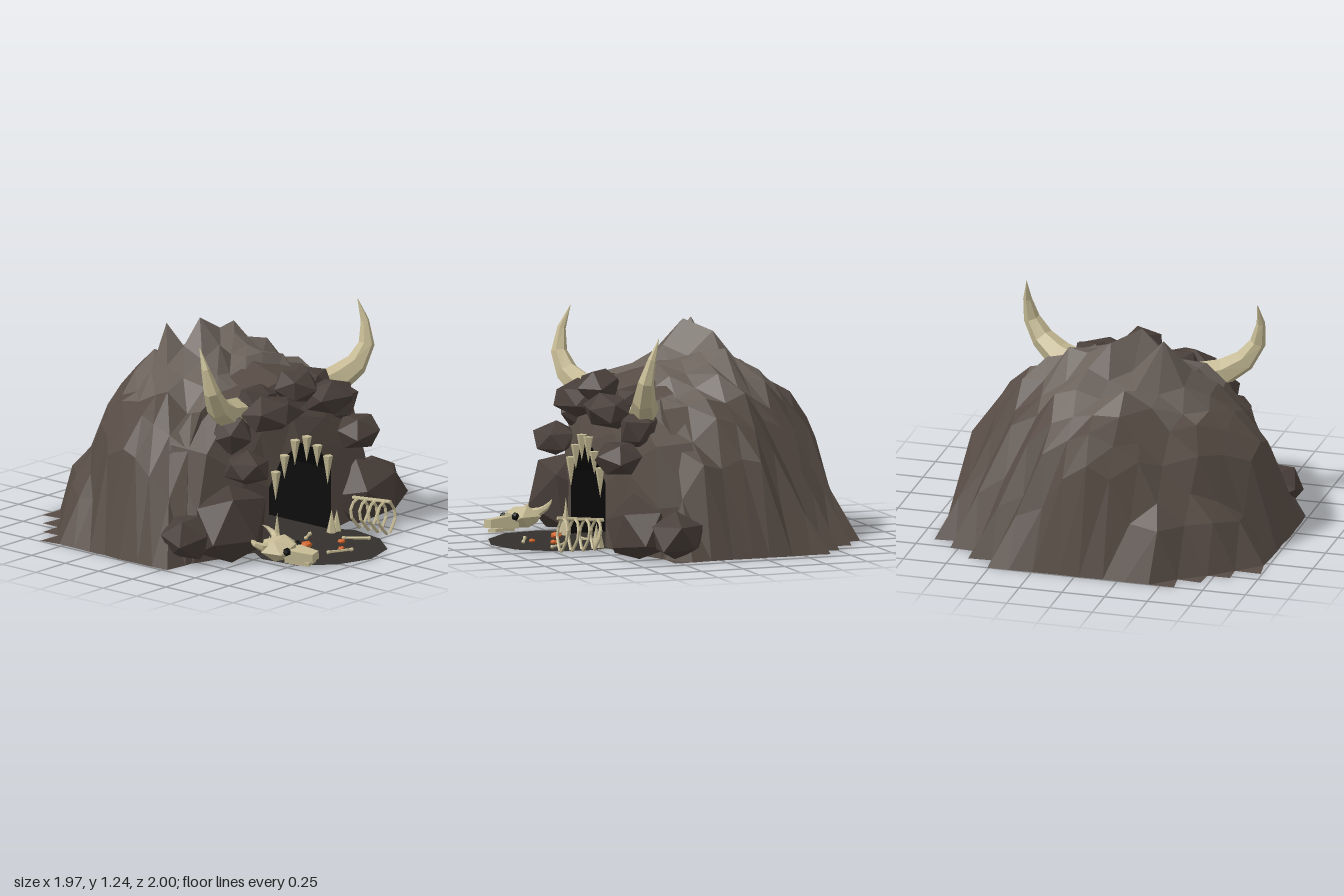
import * as THREE from 'three';

const mat = (color, side = THREE.FrontSide) =>
  new THREE.MeshStandardMaterial({ color, flatShading: true, roughness: 1, side });
const ROCK = mat(0x574c45, THREE.DoubleSide), CROWN = mat(0x6a615a, THREE.DoubleSide), DARK = mat(0x483e39);
const BONE = mat(0xc4b993), EMBER = mat(0xcf6228), SOIL = mat(0x342f2c, THREE.DoubleSide);
const BLACK = mat(0x0c0c0c, THREE.DoubleSide), RED = mat(0x9c4238, THREE.DoubleSide);
const V = (x, y, z) => new THREE.Vector3(x, y, z);

// repeatable noise in -1..1
function noise(a, b, c = 0) {
  const s = Math.sin(a * 127.1 + b * 311.7 + c * 74.7) * 43758.5453;
  return (s - Math.floor(s)) * 2 - 1;
}

function add(parent, name, geometry, material, x = 0, y = 0, z = 0) {
  const m = new THREE.Mesh(geometry, material);
  m.name = name;
  m.position.set(x, y, z);
  parent.add(m);
  return m;
}

// faceted sheet through rows of points; keep(row, column) may drop cells
function sheet(rows, keep = () => true) {
  const p = [];
  for (let j = 0; j + 1 < rows.length; j++)
    for (let i = 0; i + 1 < rows[j].length; i++) {
      if (!keep(j, i)) continue;
      const a = rows[j][i], b = rows[j][i + 1], c = rows[j + 1][i + 1], d = rows[j + 1][i];
      for (const v of [a, d, b, b, d, c]) p.push(v.x, v.y, v.z);
    }
  const g = new THREE.BufferGeometry();
  g.setAttribute('position', new THREE.Float32BufferAttribute(p, 3));
  g.computeVertexNormals();
  return g;
}

// angular stone with its corners pushed in and out
function boulder(parent, name, [x, y, z], [rx, ry, rz], seed) {
  const g = new THREE.IcosahedronGeometry(1.06, 0);
  g.rotateX(seed * 0.7);
  g.rotateY(seed * 1.3);
  const p = g.attributes.position, v = V(0, 0, 0);
  for (let i = 0; i < p.count; i++) {
    v.fromBufferAttribute(p, i);
    const k = 1 + 0.1 * noise(Math.round(v.x * 50), Math.round(v.y * 50), Math.round(v.z * 50) + seed);
    p.setXYZ(i, v.x * k * rx, Math.max(v.y * k * ry, -y), v.z * k * rz);
  }
  g.computeVertexNormals();
  return add(parent, name, g, DARK, x, y, z);
}

// tapered, curved, six-sided horn
function horn(parent, name, points, radius, segments = 5) {
  const curve = new THREE.CatmullRomCurve3(points.map(p => V(...p)));
  const g = new THREE.TubeGeometry(curve, segments, radius, 6);
  const p = g.attributes.position, v = V(0, 0, 0);
  for (let i = 0; i < p.count; i++) {
    const t = Math.floor(i / 7) / segments, c = curve.getPointAt(t);
    v.fromBufferAttribute(p, i).sub(c).multiplyScalar(Math.max(0.01, 1 - t ** 1.4)).add(c);
    p.setXYZ(i, v.x, v.y, v.z);
  }
  return add(parent, name, g, BONE);
}

// straight rod between two points
function rod(parent, name, a, b, r) {
  const A = V(...a), B = V(...b), d = B.clone().sub(A);
  const m = add(parent, name, new THREE.CylinderGeometry(r, r, d.length(), 5), BONE);
  m.position.copy(A.add(B).multiplyScalar(0.5));
  m.quaternion.setFromUnitVectors(V(0, 1, 0), d.normalize());
}

// craggy hill on a grid whose back corners are stepped
function mound(root) {
  const NX = 14, NZ = 11, inset = [3, 2, 1];
  const active = (j, i) => {
    const c = inset[j] || 0;
    return j >= 0 && j < NZ && i >= c && i < NX - c;
  };
  const peaks = [[-0.15, -0.17, 0.19], [-0.3, -0.3, 0.18], [0.25, -0.3, 0.13], [0, -0.3, 0.1], [0.07, 0.05, 0.04]];
  const rows = [];
  for (let j = 0; j <= NZ; j++) {
    rows.push([]);
    for (let i = 0; i <= NX; i++) {
      const x = -0.98 + 1.9 * i / NX, z = -1 + 1.28 * j / NZ;
      const inner = active(j, i) && active(j - 1, i) && active(j, i - 1) && active(j - 1, i - 1);
      if (!inner) { rows[j].push(V(x + 0.012 * noise(i, j, 3), 0, Math.max(-1, z + 0.012 * noise(i, j, 5)))); continue; }
      // the back corners fall away more than the front ones
      const back = z < -0.2, q = back ? 1.4 : 1.9;
      const dx = Math.abs(x + 0.03) / 0.96, dz = Math.abs(z + 0.2) / (back ? 0.82 : 0.95);
      const r = (dx ** q + dz ** q) ** (1 / q);
      let h = 1.02 * Math.sqrt(Math.max(0.06, 1 - r ** 2.2));
      for (const [px, pz, a] of peaks) h += a * Math.exp(-((x - px) ** 2 + (z - pz) ** 2) / 0.007);
      h += 0.055 * noise(i, j);
      rows[j].push(V(x + 0.025 * noise(i, j, 3), h, z + 0.02 * noise(i, j, 5)));
    }
  }
  // the front row stays open behind the cave mouth
  const solid = (j, i) => active(j, i) && !(j === NZ - 1 && i >= 4 && i <= 9);
  const high = (j, i) => Math.min(rows[j][i].y, rows[j][i + 1].y, rows[j + 1][i].y, rows[j + 1][i + 1].y) > 0.75;
  add(root, 'moundFlanks', sheet(rows, (j, i) => solid(j, i) && !high(j, i)), ROCK);
  add(root, 'moundCrown', sheet(rows, (j, i) => solid(j, i) && high(j, i)), CROWN);
}

export function createModel() {
  const root = new THREE.Group();
  root.name = 'beastCave';
  mound(root);

  // rock face around the arched mouth
  const CX = -0.025;
  const half = pts => [...pts.map(([x, y]) => [CX - x, y]), ...pts.slice(0, -1).reverse().map(([x, y]) => [CX + x, y])];
  const arch = half([[0.265, 0], [0.265, 0.18], [0.265, 0.36], [0.17, 0.49], [0, 0.57]]);
  const outer = half([[0.84, 0], [0.81, 0.3], [0.7, 0.64], [0.42, 0.88], [0, 0.98]]);
  const ring = (t, z, wobble) => arch.map(([x, y], i) => V(
    x + (outer[i][0] - x) * t, y + (outer[i][1] - y) * t + (y > 0 ? wobble * noise(i, t) : 0),
    z + wobble * noise(i, t, 9)));
  add(root, 'rockFace', sheet([ring(1, 0.08, 0), ring(0.85, 0.29, 0.02), ring(0.4, 0.38, 0.03), ring(0, 0.43, 0)]), ROCK);

  // cave interior
  const cave = new THREE.Group();
  cave.name = 'cave';
  root.add(cave);
  const BACK = -0.05;
  add(cave, 'tunnel', sheet([ring(0, 0.43, 0), ring(0, BACK, 0)]), BLACK);
  const poly = pts => new THREE.ShapeGeometry(new THREE.Shape(pts.map(p => new THREE.Vector2(...p))));
  add(cave, 'backWall', poly(arch), BLACK, 0, 0, BACK);
  add(cave, 'redGlow', poly([[-0.15, 0.01], [0.11, 0.01], [0.065, 0.17], [-0.105, 0.17]]), RED, 0, 0, 0.01);
  add(cave, 'caveFloor', new THREE.PlaneGeometry(0.53, 0.5).rotateX(-Math.PI / 2), SOIL, CX, 0.008, 0.2);

  // trampled ground before the mouth
  const edge = [];
  for (let i = 0; i < 11; i++) {
    const a = i / 11 * Math.PI * 2 - Math.PI / 2, r = 0.4 + (i ? 0.02 * noise(i, 4) : 0);
    edge.push([-0.07 + Math.cos(a) * r, -0.6 + Math.sin(a) * r]);
  }
  add(root, 'ground', poly(edge).rotateX(-Math.PI / 2), SOIL, 0, 0.006, 0);

  // boulders: name, centre, radii
  [
    ['leftFootBoulder', [0.61, 0.13, 0.39], [0.26, 0.2, 0.18]],
    ['rightFootBoulder', [-0.57, 0.18, 0.38], [0.25, 0.26, 0.18]],
    ['leftOuterBoulder', [0.81, 0.14, 0.23], [0.17, 0.14, 0.17]],
    ['rightOuterBoulder', [-0.81, 0.16, 0.27], [0.16, 0.13, 0.15]],
    ['leftCheek', [0.46, 0.54, 0.44], [0.14, 0.1, 0.13]],
    ['rightCheek', [-0.49, 0.52, 0.44], [0.14, 0.09, 0.13]],
    ['leftBrow', [0.24, 0.78, 0.41], [0.19, 0.1, 0.13]],
    ['rightBrow', [-0.24, 0.78, 0.41], [0.2, 0.1, 0.13]],
    ['noseBoulder', [0, 0.88, 0.37], [0.13, 0.1, 0.13]],
    ['leftCrownBoulder', [0.25, 0.84, 0.26], [0.13, 0.08, 0.12]],
    ['rightCrownBoulder', [-0.22, 0.84, 0.27], [0.14, 0.08, 0.12]],
    ['leftTemple', [0.44, 0.69, 0.3], [0.12, 0.12, 0.12]],
    ['rightTemple', [-0.46, 0.69, 0.3], [0.12, 0.12, 0.12]],
  ].forEach(([name, c, r], i) => boulder(root, name, c, r, i + 1));

  // great horns
  horn(root, 'leftHorn', [[0.35, 0.77, 0.25], [0.48, 0.82, 0.29], [0.6, 0.91, 0.34], [0.655, 1.04, 0.34], [0.65, 1.24, 0.27]], 0.09);
  horn(root, 'rightHorn', [[-0.37, 0.78, 0.25], [-0.52, 0.82, 0.29], [-0.64, 0.91, 0.34], [-0.7, 1.05, 0.34], [-0.7, 1.24, 0.27]], 0.09);

  // teeth: x, base height, length (negative hangs down)
  [
    [-0.25, 0.45, -0.17], [-0.175, 0.53, -0.14], [-0.085, 0.6, -0.15], [0.015, 0.6, -0.15],
    [0.105, 0.53, -0.13], [0.195, 0.45, -0.17],
    [-0.33, 0, 0.1], [-0.265, 0, 0.22], [-0.3, 0, 0.13], [0.2, 0, 0.14], [0.245, 0, 0.13],
  ].forEach(([x, y, h]) => {
    const t = add(root, 'tooth', new THREE.ConeGeometry(0.03, Math.abs(h), 5), BONE, x, y + h / 2, h < 0 ? 0.445 : 0.47);
    if (h < 0) t.rotation.x = Math.PI;
  });

  // horned animal skull, tipped to one side
  const skull = new THREE.Group();
  skull.name = 'skull';
  skull.position.set(-0.46, 0.09, 0.66);
  skull.rotation.set(0, 0.2, 0.12);
  root.add(skull);
  add(skull, 'cranium', new THREE.IcosahedronGeometry(1, 0).scale(0.12, 0.07, 0.12), BONE);
  const snout = new THREE.CylinderGeometry(0.05, 0.085, 0.17, 4).rotateY(Math.PI / 4).rotateX(Math.PI / 2).scale(1, 0.65, 1);
  add(skull, 'snout', snout, BONE, 0, -0.02, 0.145);
  add(skull, 'jaw', new THREE.BoxGeometry(0.08, 0.02, 0.13), BONE, 0, -0.06, 0.14);
  for (const s of [-1, 1]) {
    add(skull, 'eyeSocket', new THREE.IcosahedronGeometry(0.025, 0), BLACK, s * 0.06, 0.01, 0.08);
    horn(skull, 'skullHorn', [[s * 0.05, 0.02, -0.05], [s * 0.09, 0.03, -0.08], [s * 0.1, 0.06, -0.12], [s * 0.08, 0.09, -0.16]], 0.028, 4);
  }

  // rib cage
  const ribs = new THREE.Group();
  ribs.name = 'ribCage';
  root.add(ribs);
  rod(ribs, 'spine', [0.36, 0.18, 0.49], [0.36, 0.205, 0.77], 0.011);
  for (let i = 0; i < 4; i++) {
    const z = 0.53 + i * 0.067, top = 0.185 + i * 0.006;
    for (const s of [-1, 1]) {
      const c = new THREE.CatmullRomCurve3([V(0.36, top, z), V(0.36 + s * 0.055, top - 0.03, z),
        V(0.36 + s * 0.075, 0.1, z + 0.01), V(0.36 + s * 0.01, 0.015, z + 0.02)]);
      add(ribs, 'rib', new THREE.TubeGeometry(c, 5, 0.009, 5), BONE);
    }
  }

  // scattered bones and embers
  [[-0.16, 0.76, -0.03, 0.82], [0.12, 0.63, 0.21, 0.74], [-0.27, 0.5, -0.21, 0.56], [-0.02, 0.47, 0.06, 0.43]]
    .forEach(([x1, z1, x2, z2]) => {
      rod(root, 'looseBone', [x1, 0.02, z1], [x2, 0.02, z2], 0.008);
      for (const [x, z] of [[x1, z1], [x2, z2]]) add(root, 'boneKnuckle', new THREE.IcosahedronGeometry(0.013, 0), BONE, x, 0.02, z);
    });
  [[-0.14, 0.58, 0.035], [0.055, 0.67, 0.024], [-0.05, 0.76, 0.02], [-0.01, 0.07, 0.055]]
    .forEach(([x, z, r]) => add(root, 'ember', new THREE.IcosahedronGeometry(r, 0).scale(1, 0.6, 1), EMBER, x, 0.01 + r * 0.5, z));

  return root;
}
